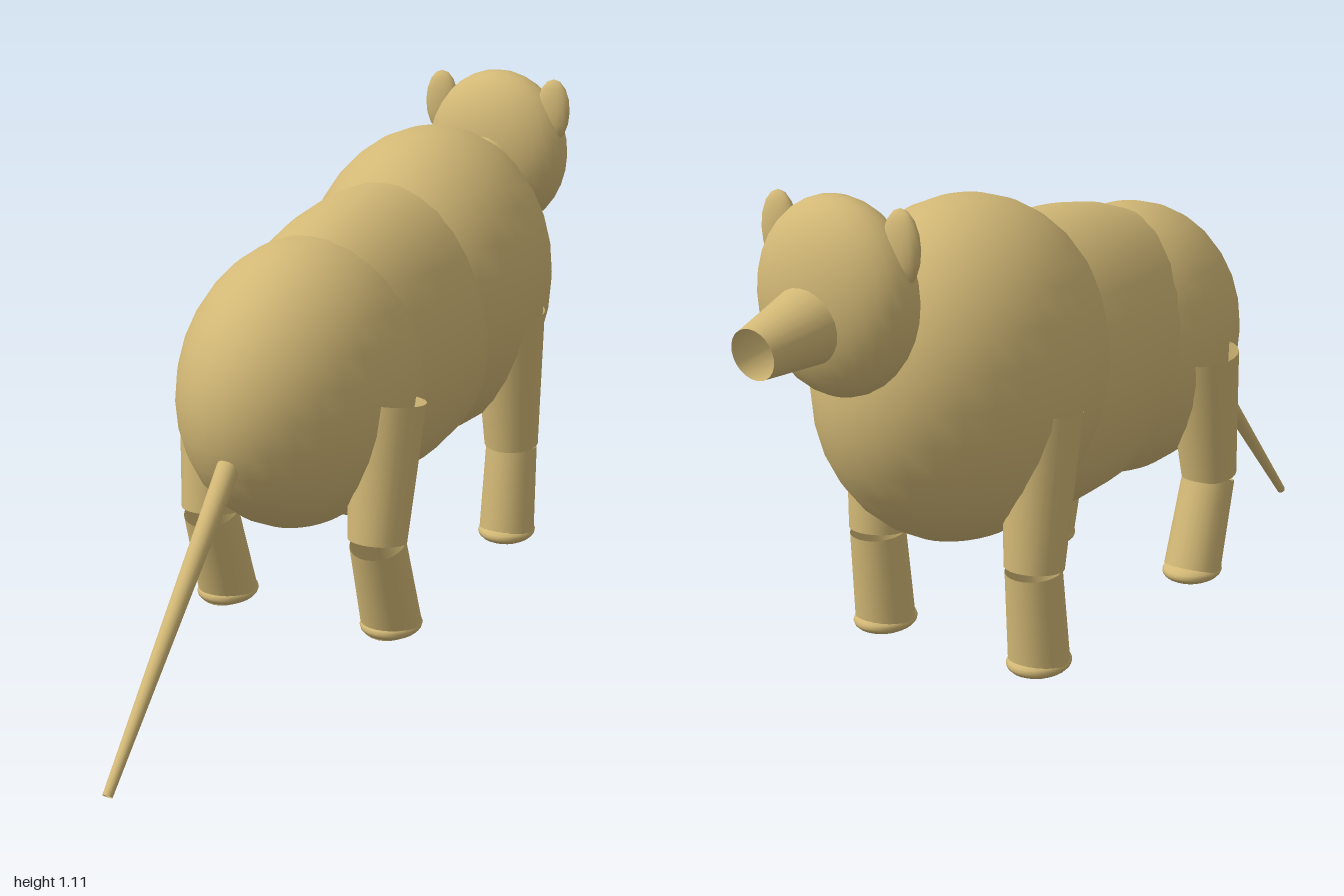
import * as THREE from 'three';

export function createModel() {
  const model = new THREE.Group();
  const hide = new THREE.MeshStandardMaterial({ color: 0xd2b876, side: THREE.DoubleSide });
  hide.name = 'tan hide';

  function add(name, geometry, parent = model) {
    const mesh = new THREE.Mesh(geometry, hide);
    mesh.name = name;
    parent.add(mesh);
    return mesh;
  }

  // Ellipsoid with its poles along y
  function blob(name, [x, y, z], [rx, ry, rz], parent, across = 32, down = 16) {
    const mesh = add(name, new THREE.SphereGeometry(1, across, down), parent);
    mesh.position.set(x, y, z);
    mesh.scale.set(rx, ry, rz);
    return mesh;
  }

  // Open tapered tube running from point a to point b
  function tube(name, a, b, ra, rb, parent) {
    const start = new THREE.Vector3(...a), end = new THREE.Vector3(...b);
    const dir = end.clone().sub(start);
    const mesh = add(name, new THREE.CylinderGeometry(rb, ra, dir.length(), 24, 1, true), parent);
    mesh.position.copy(start).add(end).multiplyScalar(0.5);
    mesh.quaternion.setFromUnitVectors(new THREE.Vector3(0, 1, 0), dir.normalize());
    return mesh;
  }

  // Body, with the head towards -z
  blob('rump', [0, 0.605, 0.22], [0.235, 0.305, 0.34]);
  blob('belly', [0, 0.63, -0.09], [0.235, 0.325, 0.56]);
  blob('chest', [0, 0.68, -0.37], [0.27, 0.355, 0.36]);

  // Neck and head
  tube('neck', [0, 0.82, -0.56], [0, 0.91, -0.72], 0.085, 0.08);
  blob('head', [0, 0.914, -0.755], [0.175, 0.193, 0.108]);
  tube('snout', [0, 0.885, -0.79], [0, 0.858, -0.993], 0.086, 0.05);

  // Tail
  tube('tail', [0, 0.56, 0.49], [0, 0.008, 0.993], 0.025, 0.01);

  for (const side of [-1, 1]) {
    const label = side > 0 ? 'left' : 'right';
    blob(label + 'Ear', [side * 0.145, 1.022, -0.745], [0.042, 0.075, 0.021], model, 16, 8);

    // Legs: hip, knee and ankle as [y, z]
    const legs = {
      FrontLeg: [[0.63, -0.38], [0.305, -0.411], [0.3, -0.413], [0.095, -0.395]],
      HindLeg: [[0.597, 0.235], [0.305, 0.276], [0.298, 0.275], [0.097, 0.21]],
    };
    for (const [kind, [hip, kneeTop, kneeLow, ankle]] of Object.entries(legs)) {
      const leg = new THREE.Group();
      leg.name = label + kind;
      model.add(leg);
      const x = side * 0.2;
      tube('upperLeg', [x, ...hip], [x, ...kneeTop], 0.082, 0.062, leg);
      tube('lowerLeg', [x, ...kneeLow], [x, ...ankle], 0.059, 0.064, leg);
      blob('foot', [x, 0.095, ankle[1]], [0.065, 0.027, 0.074], leg, 24, 12);
    }
  }
  return model;
}
